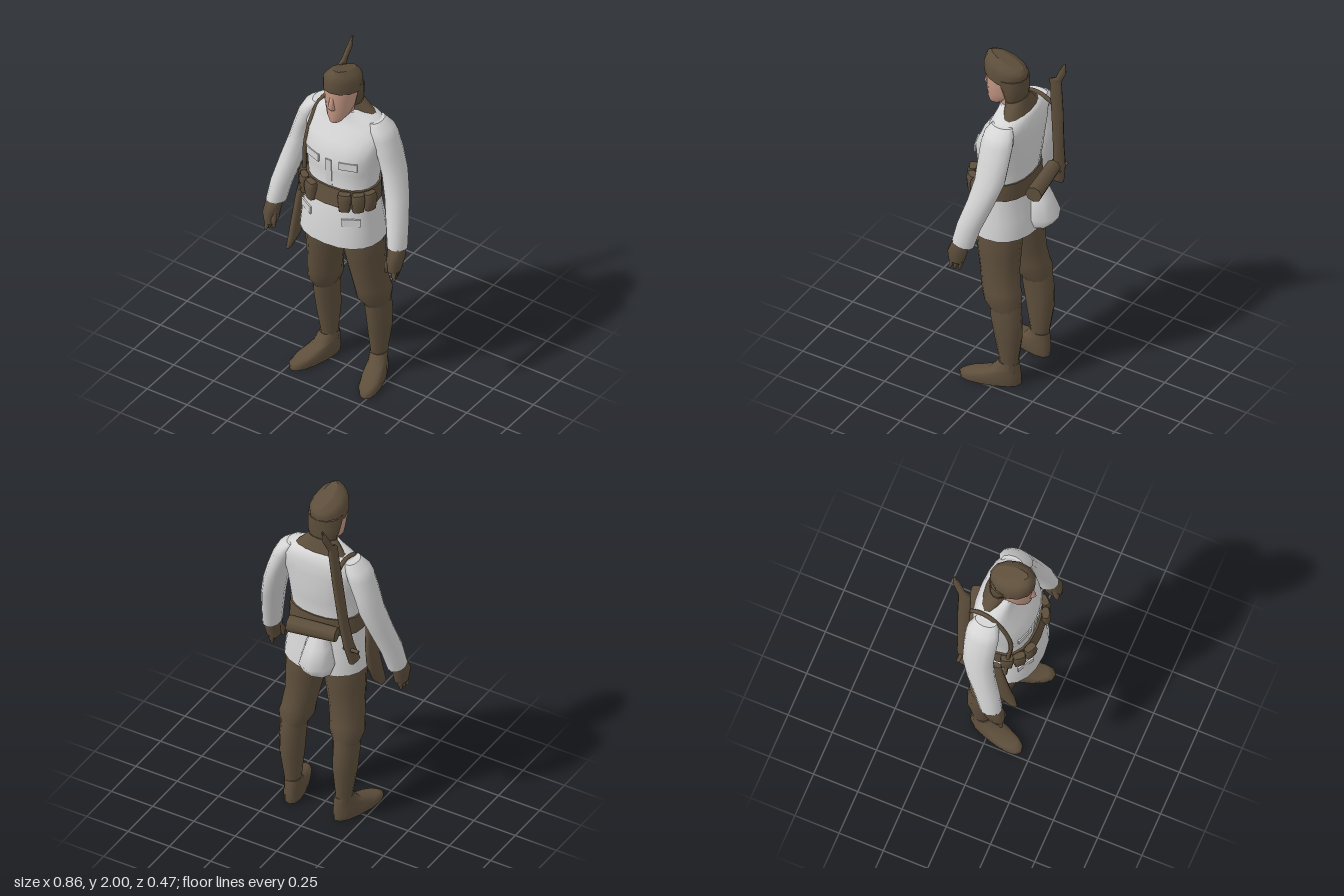
import * as THREE from 'three';

const mat = (name, color) => {
  const m = new THREE.MeshStandardMaterial({ color });
  m.name = name;
  return m;
};

// Skin stretched over level rings, listed from bottom to top:
// [x, y, z, halfWidth, halfDepth, tilt]; tilt raises the front of the ring
function loft(rings, n = 14, power = 2) {
  const pos = [], idx = [];
  const bend = (v) => Math.sign(v) * Math.abs(v) ** (2 / power);
  const ring = ([x, y, z, rx, rz, tilt = 0]) => {
    for (let i = 0; i < n; i++) {
      const a = (i / n) * Math.PI * 2, dz = rz * bend(Math.cos(a));
      pos.push(x + rx * bend(Math.sin(a)), y + tilt * dz, z + dz);
    }
  };
  rings.forEach(ring);
  for (let r = 0; r < rings.length - 1; r++) {
    for (let i = 0; i < n; i++) {
      const a = r * n + i, b = r * n + ((i + 1) % n);
      idx.push(a, b, b + n, a, b + n, a + n);
    }
  }
  // End caps with their own corners
  [[rings[0], false], [rings[rings.length - 1], true]].forEach(([end, top]) => {
    const start = pos.length / 3;
    ring(end);
    const c = pos.length / 3;
    pos.push(end[0], end[1], end[2]);
    for (let i = 0; i < n; i++) {
      const a = start + i, b = start + ((i + 1) % n);
      idx.push(c, ...(top ? [a, b] : [b, a]));
    }
  });
  const g = new THREE.BufferGeometry();
  g.setAttribute('position', new THREE.Float32BufferAttribute(pos, 3));
  g.setIndex(idx);
  g.computeVertexNormals();
  return g;
}

export function createModel() {
  const model = new THREE.Group();
  const white = mat('jacket white', 0xd6d6d6);
  const brown = mat('earth brown', 0x5e4f3c);
  const skin = mat('skin', 0xc79a86);

  const add = (name, geo, material, parent = model) => {
    const m = new THREE.Mesh(geo, material);
    m.name = name;
    parent.add(m);
    return m;
  };

  // Jacket: flared skirt, waist, chest and sloping shoulders
  add('jacket', loft([
    [0.01, 0.94, 0.045, 0.235, 0.187],
    [0.01, 1.05, 0.047, 0.222, 0.178],
    [0.01, 1.18, 0.05, 0.203, 0.157],
    [0.01, 1.29, 0.04, 0.195, 0.14],
    [0.01, 1.38, 0.035, 0.203, 0.15],
    [0.01, 1.46, 0.033, 0.215, 0.155],
    [0.01, 1.55, 0.01, 0.235, 0.135],
    [0.01, 1.62, -0.015, 0.24, 0.11],
    [0.01, 1.665, -0.015, 0.185, 0.095],
    [0.01, 1.685, -0.01, 0.13, 0.085],
    [0.01, 1.705, 0.015, 0.075, 0.06],
  ], 20, 2.3), white);
  add('jacketBackFlap', loft([
    [-0.03, 0.96, -0.14, 0.08, 0.06],
    [-0.03, 1.02, -0.13, 0.1, 0.11],
    [-0.03, 1.12, -0.12, 0.075, 0.075],
    [-0.03, 1.2, -0.11, 0.05, 0.045],
  ], 8), white);

  // Pocket flaps and front placket
  const flaps = [['chestPocketFlap', 0.11, 1.44, 0.17, 0.34], ['skirtPocketFlap', 0.14, 1.1, 0.186, 0.52]];
  [-1, 1].forEach((s) => flaps.forEach(([name, x, y, z, yaw]) => {
    const flap = add(name, new THREE.BoxGeometry(0.1, 0.045, 0.009), white);
    flap.position.set(0.01 + s * x, y, z);
    flap.rotation.y = s * yaw;
  }));
  const placket = add('frontPlacket', new THREE.BoxGeometry(0.035, 0.17, 0.009), white);
  placket.position.set(0.01, 1.375, 0.183);
  placket.rotation.x = 0.07;

  // Belt with three pouches on each side and a roll behind
  add('belt', loft([
    [0.01, 1.185, 0.05, 0.212, 0.164],
    [0.01, 1.235, 0.046, 0.21, 0.157],
    [0.01, 1.285, 0.042, 0.206, 0.15],
  ], 20, 2.3), brown);
  [-1, 1].forEach((s) => [0.45, 0.85, 1.25].forEach((a) => {
    const pouch = add('beltPouch', loft([
      [0, -0.055, 0, 0.03, 0.022],
      [0, 0.02, 0, 0.037, 0.03],
      [0, 0.05, 0, 0.033, 0.02],
    ], 8, 4), brown);
    pouch.position.set(0.01 + s * 0.215 * Math.sin(a) ** 0.87, 1.23, 0.05 + 0.16 * Math.cos(a) ** 0.87);
    pouch.rotation.y = s * a;
  }));
  const roll = add('backRoll', new THREE.CylinderGeometry(0.04, 0.046, 0.27, 8), brown);
  roll.position.set(-0.015, 1.235, -0.155);
  roll.rotation.set(0, 0.15, Math.PI / 2, 'YXZ');

  // Collar rising behind the neck
  add('collar', loft([
    [0.01, 1.655, -0.035, 0.17, 0.066],
    [0.01, 1.69, -0.03, 0.135, 0.062],
    [0.01, 1.745, -0.012, 0.08, 0.056, -0.3],
  ]), brown);
  add('neck', loft([
    [0.01, 1.69, 0.03, 0.055, 0.05],
    [0.01, 1.75, 0.045, 0.058, 0.06],
  ]), skin);

  // Head
  add('face', loft([
    [0.01, 1.68, 0.11, 0.035, 0.045, -0.1],
    [0.01, 1.71, 0.09, 0.058, 0.072],
    [0.01, 1.76, 0.072, 0.075, 0.092],
    [0.01, 1.82, 0.068, 0.086, 0.1],
    [0.01, 1.89, 0.06, 0.09, 0.108],
  ]), skin);
  add('nose', loft([
    [0.012, 1.765, 0.158, 0.02, 0.014],
    [0.012, 1.783, 0.158, 0.019, 0.03],
    [0.012, 1.845, 0.158, 0.012, 0.01],
  ], 8), skin);
  add('backOfHead', loft([
    [0.01, 1.72, -0.005, 0.066, 0.05],
    [0.01, 1.78, -0.005, 0.088, 0.06],
    [0.01, 1.83, 0.008, 0.094, 0.075],
    [0.01, 1.88, 0.025, 0.096, 0.095],
  ]), brown);
  add('cap', loft([
    [0.01, 1.855, 0.057, 0.096, 0.12, 0.2],
    [0.012, 1.92, 0.055, 0.096, 0.126, 0.2],
    [0.015, 1.95, 0.05, 0.073, 0.115, 0.3],
    [0.018, 1.967, 0.045, 0.035, 0.095, 0.35],
  ], 12), brown);

  // Limbs, mirrored by side
  [-1, 1].forEach((s) => {
    const side = s > 0 ? 'left' : 'right';
    const mir = (rings, c = 0) => rings.map(([x, ...rest]) => [c + s * x, ...rest]);

    add(side + 'Sleeve', loft(mir([
      [0.378, 0.985, 0.095, 0.051, 0.062, 0.2],
      [0.36, 1.1, 0.068, 0.057, 0.068, 0.1],
      [0.325, 1.25, 0.018, 0.062, 0.077],
      [0.29, 1.38, -0.015, 0.062, 0.086],
      [0.262, 1.48, -0.018, 0.06, 0.09],
      [0.225, 1.58, -0.018, 0.063, 0.092],
      [0.205, 1.625, -0.018, 0.058, 0.085],
      [0.175, 1.665, -0.018, 0.035, 0.06],
    ]), 12), white);
    add(side + 'Hand', loft(mir([
      [0.385, 0.86, 0.13, 0.03, 0.042],
      [0.388, 0.93, 0.122, 0.038, 0.056],
      [0.38, 1.0, 0.1, 0.04, 0.05],
    ]), 8, 3), brown);
    [0.1, 0.125, 0.15].forEach((z, i) => add(side + 'Finger', loft(mir([
      [0.39 + i * 0.006, 0.815, z + 0.012, 0.008, 0.008],
      [0.39, 0.87, z, 0.02, 0.016],
    ]), 6), brown));
    add(side + 'Thumb', loft(mir([
      [0.352, 0.85, 0.16, 0.008, 0.01],
      [0.355, 0.9, 0.155, 0.017, 0.018],
      [0.37, 0.95, 0.13, 0.016, 0.02],
    ]), 6), brown);

    // Breeches gathered over tall leg wraps
    add(side + 'Breeches', loft(mir([
      [0.16, 0.48, -0.032, 0.066, 0.088],
      [0.152, 0.55, -0.015, 0.093, 0.105, -0.2],
      [0.147, 0.6, -0.002, 0.09, 0.108],
      [0.132, 0.7, 0.015, 0.093, 0.108],
      [0.12, 0.82, 0.025, 0.105, 0.12],
      [0.112, 0.93, 0.03, 0.112, 0.13],
      [0.105, 1.0, 0.03, 0.1, 0.12],
    ], 0.01), 14), brown);
    add(side + 'LegWrap', loft(mir([
      [0.155, 0.08, -0.055, 0.044, 0.055],
      [0.155, 0.15, -0.055, 0.045, 0.054],
      [0.16, 0.3, -0.053, 0.062, 0.078],
      [0.162, 0.42, -0.043, 0.067, 0.088],
      [0.156, 0.54, -0.03, 0.068, 0.088],
    ], 0.01), 12), brown);
    const boot = add(side + 'Boot', loft([
      [0, 0, 0.1, 0.056, 0.165],
      [0, 0.03, 0.1, 0.06, 0.167],
      [0, 0.06, 0.083, 0.056, 0.148, -0.08],
      [0, 0.095, 0.025, 0.048, 0.085, -0.25],
      [0, 0.14, 0, 0.045, 0.056],
    ], 14, 2.3), brown);
    boot.position.set(0.01 + s * 0.155, 0, -0.055);
    boot.rotation.y = s * 0.29;
  });

  // Slung rifle behind the right shoulder
  add('rifle', loft([
    [-0.235, 1.08, -0.1, 0.018, 0.045],
    [-0.215, 1.2, -0.13, 0.02, 0.035],
    [-0.19, 1.35, -0.14, 0.02, 0.032],
    [-0.16, 1.6, -0.15, 0.018, 0.036],
    [-0.135, 1.81, -0.155, 0.016, 0.036],
    [-0.132, 1.83, -0.178, 0.012, 0.022],
    [-0.122, 1.89, -0.205, 0.012, 0.022],
    [-0.115, 1.955, -0.225, 0.004, 0.005],
  ], 8, 3), brown);
  const bolt = add('rifleBolt', new THREE.CylinderGeometry(0.01, 0.013, 0.09, 6), brown);
  bolt.position.set(-0.235, 1.17, -0.135);
  bolt.rotation.z = Math.PI / 2;

  // Shoulder strap
  const strapPath = new THREE.CatmullRomCurve3([
    [-0.15, 1.64, -0.13], [-0.15, 1.675, -0.06], [-0.16, 1.665, 0.02], [-0.168, 1.6, 0.075],
    [-0.175, 1.5, 0.115], [-0.18, 1.42, 0.125], [-0.188, 1.3, 0.115], [-0.225, 1.12, 0.11],
  ].map((p) => new THREE.Vector3(...p)));
  add('shoulderStrap', new THREE.TubeGeometry(strapPath, 28, 0.012, 6), brown);

  // Scabbard hanging at the right hip
  add('scabbard', loft([
    [-0.25, 0.77, 0.165, 0.01, 0.025],
    [-0.242, 0.83, 0.13, 0.02, 0.048],
    [-0.24, 0.94, 0.09, 0.022, 0.058],
    [-0.234, 1.08, 0.07, 0.02, 0.045],
    [-0.225, 1.2, 0.065, 0.014, 0.022],
  ], 8, 3), brown);
  return model;
}
